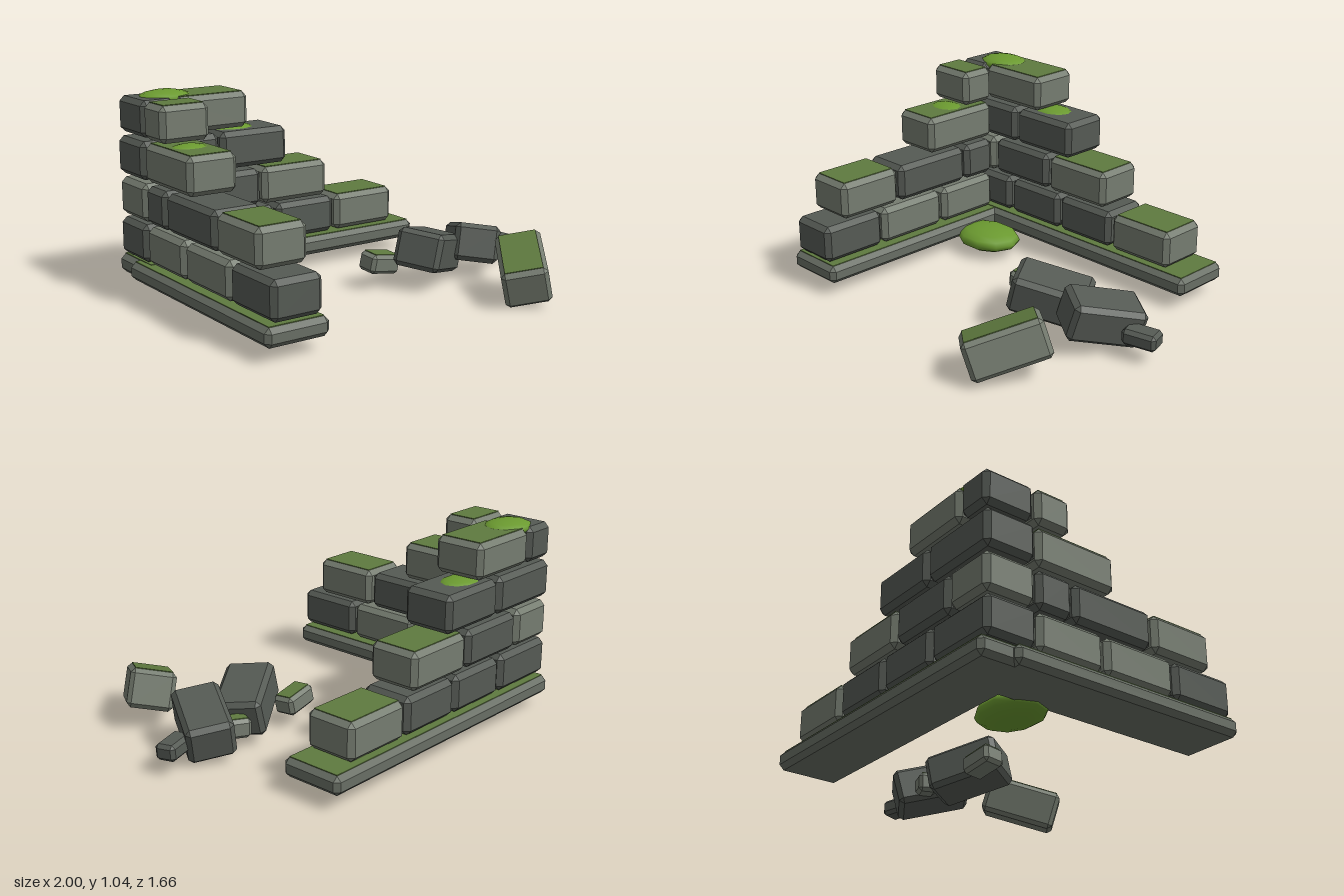
import * as THREE from 'three';
import { ConvexGeometry } from 'three/addons/geometries/ConvexGeometry.js';

const mat = (name, color) => {
  const m = new THREE.MeshStandardMaterial({ color });
  m.name = name;
  return m;
};
const lightStone = mat('lightStone', 0x757c70);
const darkStone = mat('darkStone', 0x555a54);
const baseStone = mat('baseStone', 0x686e64);
const flatMoss = mat('flatMoss', 0x5f7a3f);
const moss = mat('moss', 0x6b9a30);

// Box with every edge and corner cut at an angle
function chamferedBox(w, h, d, c) {
  const points = [];
  for (const x of [-1, 1]) for (const y of [-1, 1]) for (const z of [-1, 1]) {
    for (let axis = 0; axis < 3; axis++) {
      const cut = [c, c, c];
      cut[axis] = 0;
      points.push(new THREE.Vector3(x * (w / 2 - cut[0]), y * (h / 2 - cut[1]), z * (d / 2 - cut[2])));
    }
  }
  return new ConvexGeometry(points);
}

// One stone, with an optional thin layer of moss on its top face
function stone(name, size, material, mossy, chamfer = 0.026) {
  const [w, h, d] = size;
  const g = new THREE.Group();
  g.name = name;
  const body = new THREE.Mesh(chamferedBox(w, h, d, chamfer), material);
  body.name = name + 'Body';
  g.add(body);
  if (mossy) {
    const inset = chamfer * 2;
    const top = new THREE.Mesh(new THREE.BoxGeometry(w - inset, 0.006, d - inset), flatMoss);
    top.name = name + 'MossTop';
    top.position.y = h / 2 + 0.001;
    g.add(top);
  }
  return g;
}

// Stone given by its ranges along x, y and z
function stoneBetween(name, [x0, x1], [y0, y1], [z0, z1], material, mossy, chamfer) {
  const g = stone(name, [x1 - x0, y1 - y0, z1 - z0], material, mossy, chamfer);
  g.position.set((x0 + x1) / 2, (y0 + y1) / 2, (z0 + z1) / 2);
  return g;
}

export function createModel() {
  const model = new THREE.Group();
  model.name = 'ruinedWallCorner';
  const L = lightStone, D = darkStone;

  // Footing slabs
  model.add(stoneBetween('backFooting', [-0.97, 0.715], [0.08, 0.178], [-0.845, -0.505], baseStone, true, 0.025));
  model.add(stoneBetween('sideFooting', [-1, -0.66], [0.08, 0.175], [-0.67, 0.665], baseStone, true, 0.025));

  // Courses from bottom to top: [start, end, material, mossy]
  const rowY = [[0.19, 0.385], [0.4, 0.595], [0.615, 0.81], [0.83, 1.015]];
  const backRows = [
    [[-0.97, -0.57, D], [-0.555, -0.19, D], [-0.18, 0.185, D], [0.2, 0.585, L, true]],
    [[-0.965, -0.695, L], [-0.685, -0.28, D], [-0.265, 0.14, L, true]],
    [[-0.97, -0.525, D], [-0.515, -0.115, D]],
    [[-0.96, -0.77, D], [-0.76, -0.35, L, true]],
  ];
  const sideRows = [
    [[0.29, 0.66, D], [-0.135, 0.28, L], [-0.525, -0.15, L]],
    [[0.17, 0.54, L, true], [-0.315, 0.155, D], [-0.525, -0.325, D]],
    [[-0.525, -0.065, L, true]],
    [[-0.525, -0.325, L, true]],
  ];
  rowY.forEach((y, i) => {
    for (const [a, b, m, green] of backRows[i])
      model.add(stoneBetween('backWallStone', [a, b], y, [-0.813, -0.535], m, green));
    for (const [a, b, m, green] of sideRows[i])
      model.add(stoneBetween('sideWallStone', [-0.965, -0.695], y, [a, b], m, green));
  });

  // Fallen blocks and rubble: name, size, position, [roll, yaw, pitch], material, mossy, chamfer
  const fallen = [
    ['fallenFrontBlock', [0.4, 0.2, 0.235], [0.56, 0.172, 0.595], [-0.2, 0.94, 0.29], L, true, 0.022],
    ['fallenRightBlock', [0.38, 0.2, 0.24], [0.675, 0.172, 0.06], [0.14, 1.04, -0.24], D, false, 0.024],
    ['fallenLeftBlock', [0.39, 0.2, 0.25], [0.36, 0.19, 0.085], [0.12, 0.58, -0.23], D, false, 0.024],
    ['leftRubble', [0.19, 0.1, 0.125], [0.11, 0.14, -0.012], [0.08, 0.08, -0.17], L, true, 0.018],
    ['rightRubble', [0.18, 0.085, 0.11], [0.9, 0.128, 0.025], [0.05, 0.27, -0.04], D, false, 0.018],
    ['middleRubble', [0.14, 0.1, 0.1], [0.56, 0.14, -0.045], [0, -0.4, 0.05], L, true, 0.018],
  ];
  for (const [name, size, pos, [roll, yaw, pitch], m, green, c] of fallen) {
    const g = stone(name, size, m, green, c);
    g.position.set(...pos);
    g.rotation.set(roll, yaw, pitch, 'YZX');
    model.add(g);
  }

  // Rounded moss clumps: name, centre, radii
  const clumps = [
    ['topMossClump', [-0.76, 1.005, -0.68], [0.145, 0.04, 0.115]],
    ['backMossClump', [-0.37, 0.795, -0.68], [0.13, 0.034, 0.095]],
    ['sideMossClump', [-0.83, 0.795, -0.3], [0.11, 0.034, 0.088]],
    ['groundMossClump', [-0.545, 0.095, -0.345], [0.198, 0.063, 0.157]],
  ];
  const clumpGeometry = new THREE.SphereGeometry(1, 10, 8);
  for (const [name, pos, radii] of clumps) {
    const clump = new THREE.Mesh(clumpGeometry, moss);
    clump.name = name;
    clump.position.set(...pos);
    clump.scale.set(...radii);
    model.add(clump);
  }
  return model;
}
